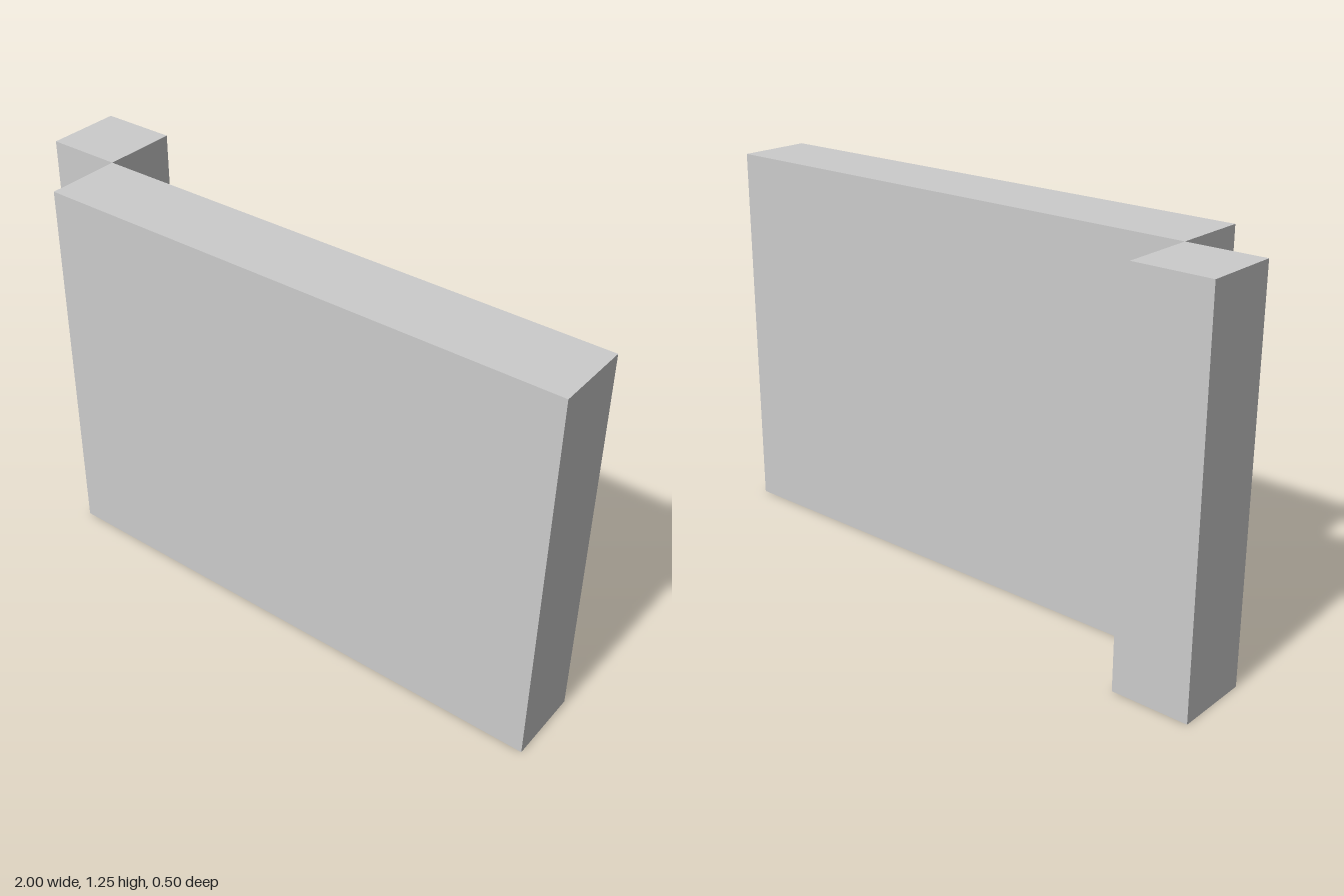
import * as THREE from 'three';

const HEIGHT = 1.25;
const DEPTH = 0.25;

export function createModel() {
  const model = new THREE.Group();
  const material = new THREE.MeshStandardMaterial({ color: 0xcccccc, flatShading: true });

  // Upright block standing on the ground, spanning x0..x1 and starting at z0
  function addBlock(name, x0, x1, z0) {
    const mesh = new THREE.Mesh(new THREE.BoxGeometry(x1 - x0, HEIGHT, DEPTH), material);
    mesh.name = name;
    mesh.position.set((x0 + x1) / 2, HEIGHT / 2, z0 + DEPTH / 2);
    model.add(mesh);
  }

  // Long wall in front, square post behind, touching along one vertical edge
  addBlock('wallPanel', -0.75, 1, 0);
  addBlock('cornerPost', -1, -0.75, -DEPTH);

  return model;
}
